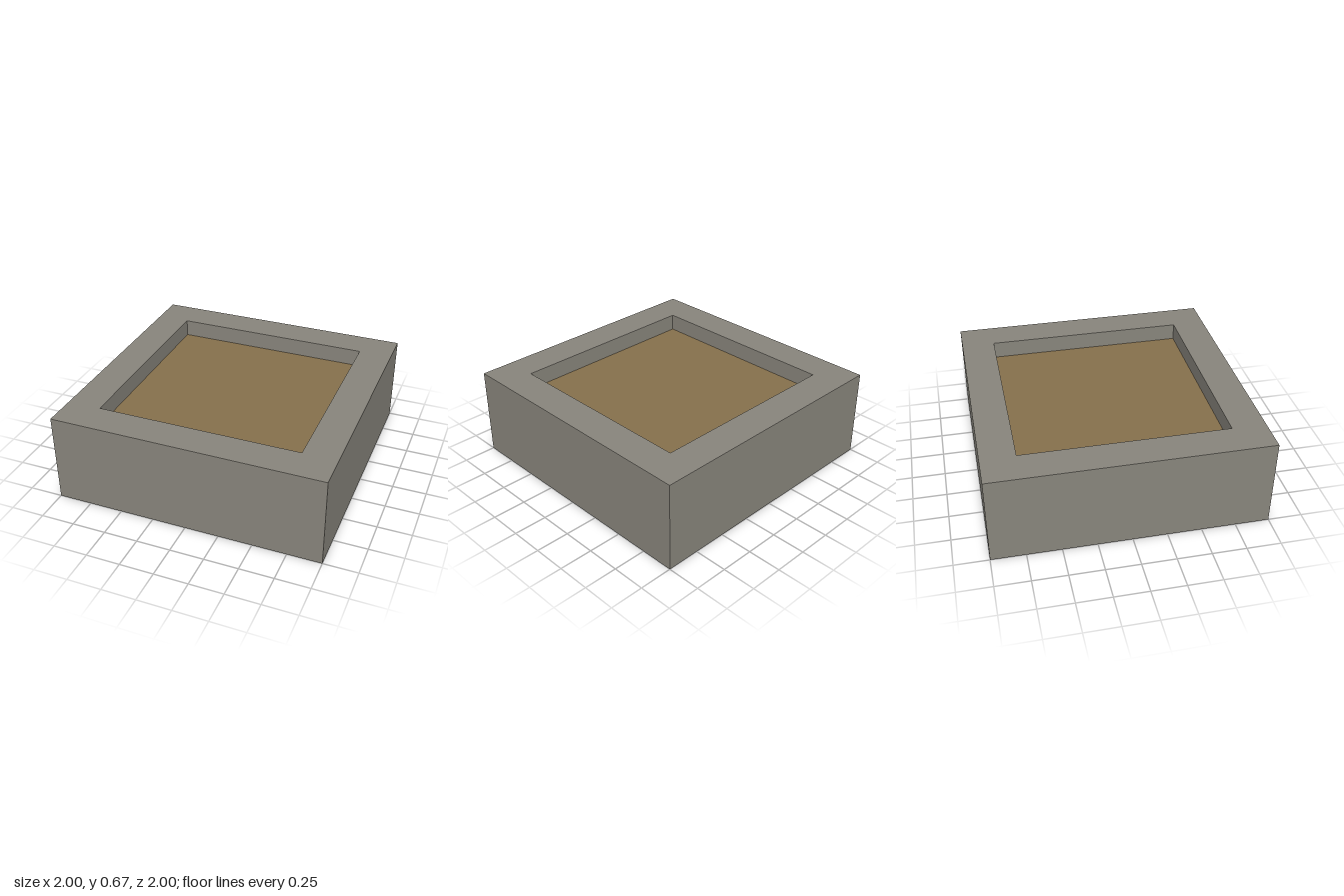
import * as THREE from 'three';

const HEIGHT = 0.67, OUTER = 1, INNER = 0.75, SOIL_Y = 0.54;
const RIM = OUTER - INNER;

// Hollow box that keeps only the listed faces (0 +x, 1 -x, 2 +y, 3 -y, 4 +z, 5 -z)
function openBox(width, height, depth, faces) {
  const geometry = new THREE.BoxGeometry(width, height, depth);
  const index = Array.from(geometry.index.array);
  geometry.setIndex(faces.flatMap((f) => index.slice(f * 6, f * 6 + 6)));
  geometry.clearGroups();
  return geometry;
}

export function createModel() {
  const stone = new THREE.MeshStandardMaterial({ color: 0x88857c, side: THREE.DoubleSide });
  stone.name = 'stone';
  const soil = new THREE.MeshStandardMaterial({ color: 0x86704c, side: THREE.DoubleSide });
  soil.name = 'soil';

  const model = new THREE.Group();
  model.name = 'planter';

  const add = (name, geometry, material, x, y, z) => {
    const mesh = new THREE.Mesh(geometry, material);
    mesh.name = name;
    mesh.position.set(x, y, z);
    model.add(mesh);
  };

  // Walls are hollow and open underneath; the side walls fit between front and back
  const centre = (OUTER + INNER) / 2;
  for (const s of [1, -1]) {
    add(s > 0 ? 'frontWall' : 'backWall',
      openBox(2 * OUTER, HEIGHT, RIM, [0, 1, 2, 4, 5]), stone, 0, HEIGHT / 2, s * centre);
    add(s > 0 ? 'leftWall' : 'rightWall',
      openBox(RIM, HEIGHT, 2 * INNER, [0, 1, 2]), stone, s * centre, HEIGHT / 2, 0);
  }

  // Recessed soil sheet, open to the space below
  const sheet = new THREE.PlaneGeometry(2 * INNER, 2 * INNER).rotateX(-Math.PI / 2);
  add('soilSurface', sheet, soil, 0, SOIL_Y, 0);

  return model;
}
